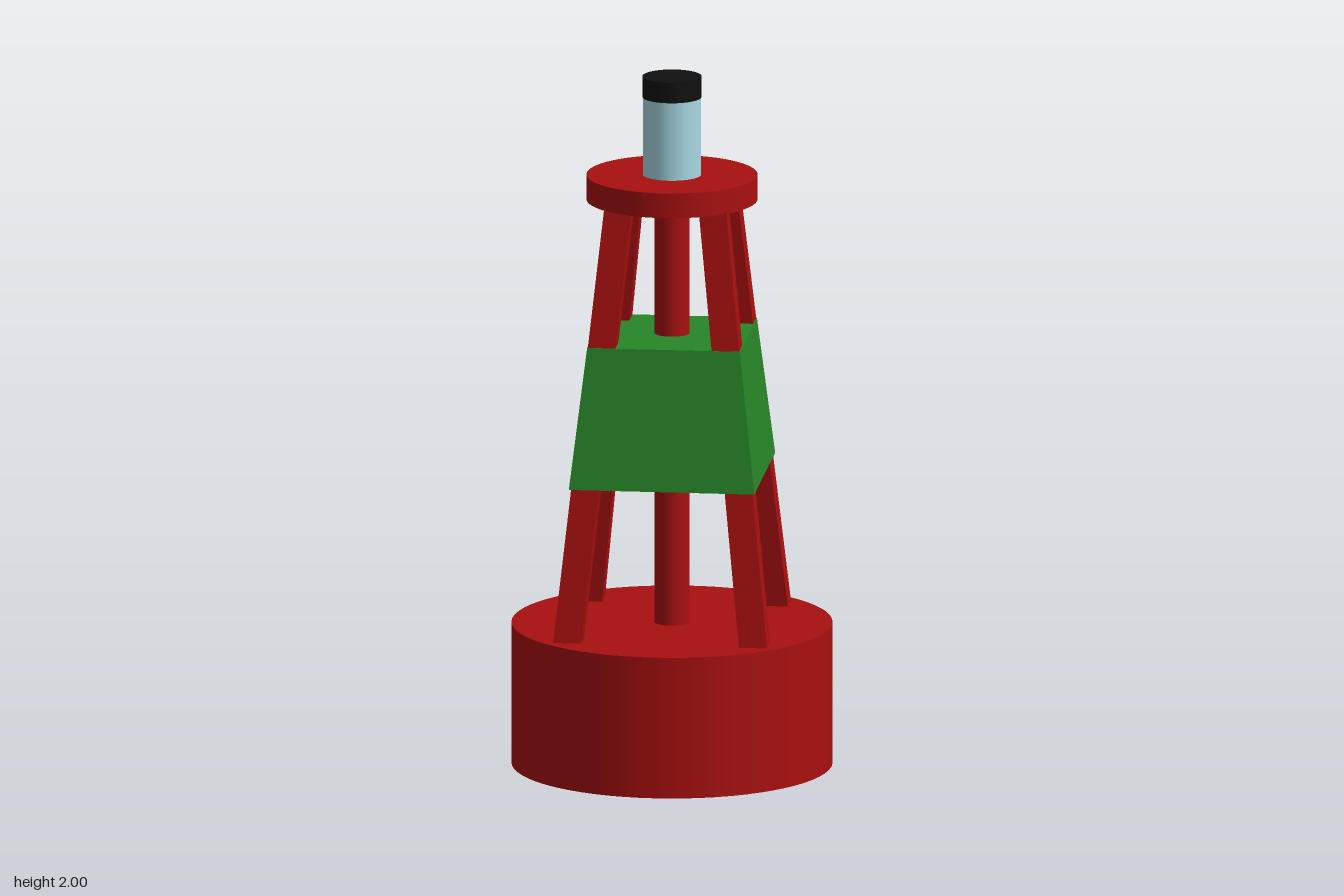
import * as THREE from 'three';

const material = (name, color) => {
  const m = new THREE.MeshStandardMaterial({ color });
  m.name = name;
  return m;
};

export function createModel() {
  const buoy = new THREE.Group();
  buoy.name = 'buoy';

  const red = material('red paint', 0xa90f0f);
  const green = material('green paint', 0x278627);
  const glass = material('pale blue glass', 0xa8d8e3);
  const black = material('black', 0x101010);

  const add = (name, geometry, mat) => {
    const mesh = new THREE.Mesh(geometry, mat);
    mesh.name = name;
    buoy.add(mesh);
    return mesh;
  };

  // Upright round part between two heights
  const drum = (name, radius, y0, y1, mat) =>
    add(name, new THREE.CylinderGeometry(radius, radius, y1 - y0, 64).translate(0, (y0 + y1) / 2, 0), mat);

  // Square-section bar with level ends, leaning from centre offset c0 to c1 on both axes
  const bar = (y0, y1, half0, half1, c0 = 0, c1 = 0, sx = 1, sz = 1) => {
    const g = new THREE.BoxGeometry(2, 1, 2).toNonIndexed();
    const p = g.attributes.position;
    for (let i = 0; i < p.count; i++) {
      const t = p.getY(i) + 0.5;
      const half = half0 + (half1 - half0) * t;
      const c = c0 + (c1 - c0) * t;
      p.setXYZ(i, sx * c + p.getX(i) * half, y0 + (y1 - y0) * t, sz * c + p.getZ(i) * half);
    }
    g.computeVertexNormals();
    return g;
  };

  // Float and tower
  drum('float', 0.456, 0, 0.41, red);
  drum('centrePole', 0.05, 0.4, 1.65, red);
  for (const sx of [-1, 1])
    for (const sz of [-1, 1])
      add(`${sz > 0 ? 'front' : 'back'}${sx > 0 ? 'Left' : 'Right'}Leg`,
        bar(0.405, 1.65, 0.04, 0.039, 0.266, 0.135, sx, sz), red);

  // Tapered solid day mark around the legs
  add('dayMark', bar(0.848, 1.252, 0.265, 0.218), green);

  // Platform and lantern
  drum('platform', 0.243, 1.642, 1.714, red);
  drum('lantern', 0.083, 1.71, 1.94, glass);
  drum('lanternCap', 0.084, 1.94, 2, black);

  return buoy;
}
